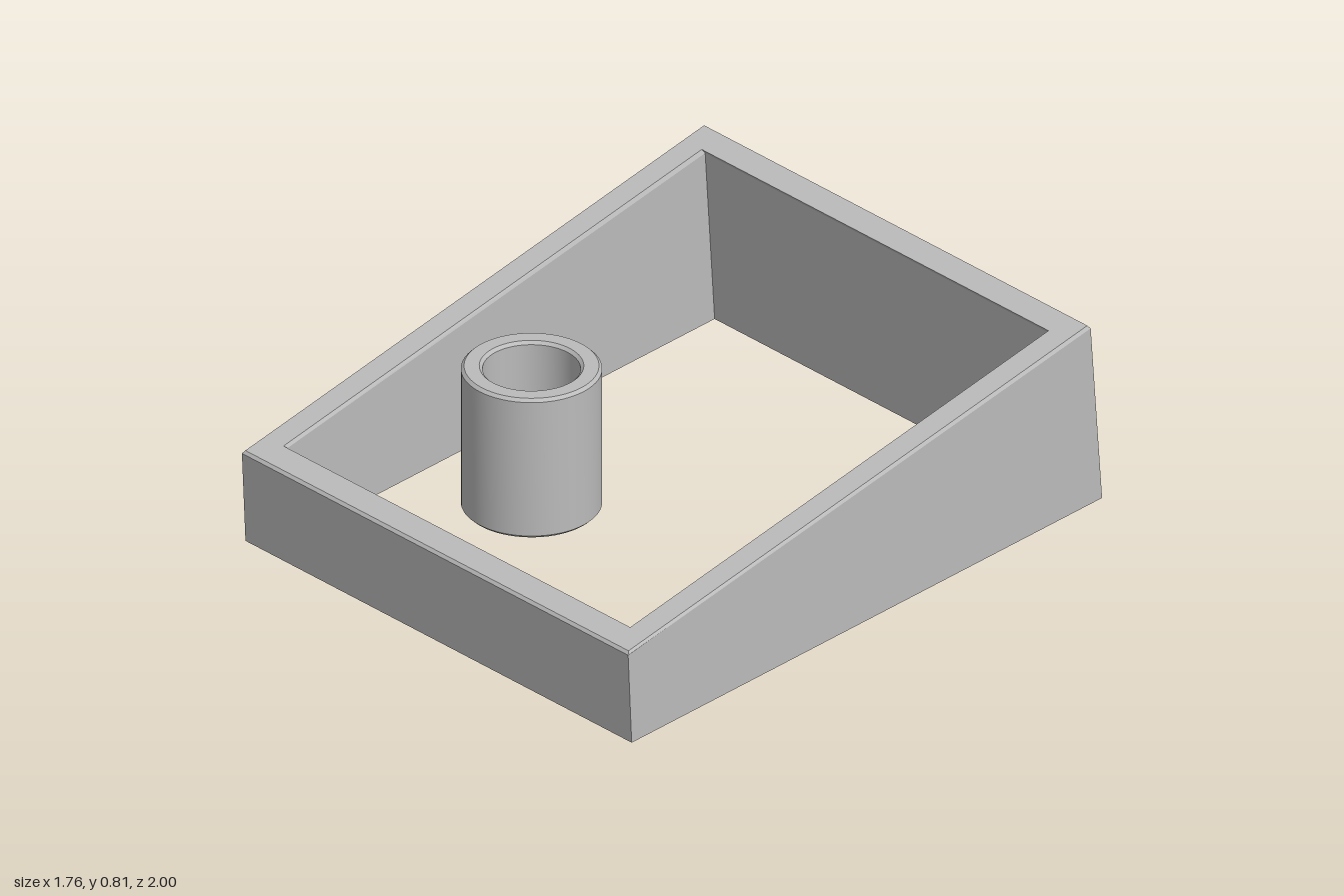
import * as THREE from 'three';
import { toCreasedNormals } from 'three/addons/utils/BufferGeometryUtils.js';

// Closed skin through a ring of rectangular loops: [halfWidth, frontZ, frontY, backZ, backY]
function loopFrame(loops) {
  const corners = loops.map(([w, fz, fy, bz, by]) => [
    [w, fy, fz], [w, by, bz], [-w, by, bz], [-w, fy, fz],
  ]);
  const positions = [];
  corners.forEach((a, i) => {
    const b = corners[(i + 1) % corners.length];
    for (let k = 0; k < 4; k++) {
      const n = (k + 1) % 4;
      positions.push(...a[k], ...a[n], ...b[n], ...a[k], ...b[n], ...b[k]);
    }
  });
  const geometry = new THREE.BufferGeometry();
  geometry.setAttribute('position', new THREE.Float32BufferAttribute(positions, 3));
  geometry.computeVertexNormals();
  return geometry;
}

// Hollow tube with small chamfers on every rim
function tubeGeometry(inner, outer, bottom, top, c) {
  const profile = [
    [inner, bottom + c], [inner + c, bottom], [outer - c, bottom], [outer, bottom + c],
    [outer, top - c], [outer - c, top], [inner + c, top], [inner, top - c], [inner, bottom + c],
  ].map(([r, y]) => new THREE.Vector2(r, y));
  return toCreasedNormals(new THREE.LatheGeometry(profile, 64), Math.PI / 6);
}

export function createModel() {
  const group = new THREE.Group();
  const grey = new THREE.MeshStandardMaterial({ color: 0xbbbbbb });
  grey.name = 'light grey';

  // Sloping four-sided frame, open at top and bottom, with a narrow chamfer on the rim
  const frame = new THREE.Mesh(loopFrame([
    [0.88, 0.985, 0, -1.0, 0.12],
    [0.88, 1.0, 0.315, -0.952, 0.738],
    [0.873, 0.992, 0.325, -0.944, 0.748],
    [0.79, 0.908, 0.343, -0.857, 0.729],
    [0.783, 0.9, 0.334, -0.865, 0.716],
    [0.783, 0.885, 0.006, -0.905, 0.114],
  ]), grey);
  frame.name = 'wedgeFrame';
  group.add(frame);

  // Upright tube standing inside the frame near the front
  const tube = new THREE.Mesh(tubeGeometry(0.152, 0.219, 0.315, 0.807, 0.01), grey);
  tube.name = 'uprightTube';
  tube.position.set(-0.03, 0, 0.565);
  group.add(tube);

  return group;
}
